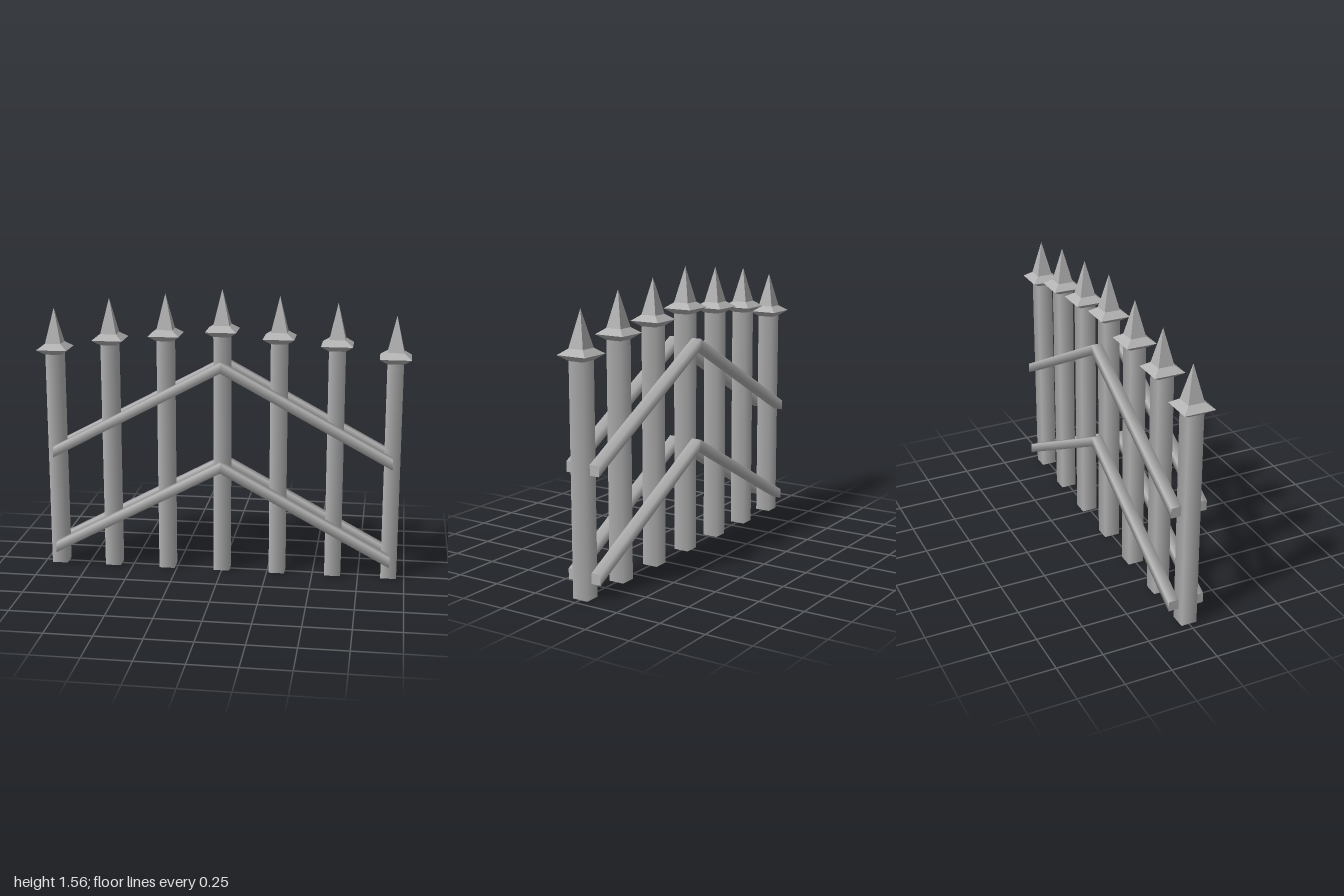
import * as THREE from 'three';

export function createModel() {
  const root = new THREE.Group();
  root.name = 'picketFence';
  const iron = new THREE.MeshStandardMaterial({ color: 0xb2b2b2 });
  iron.name = 'grey iron';

  const add = (parent, geometry, name) => {
    const mesh = new THREE.Mesh(geometry, iron);
    mesh.name = name;
    parent.add(mesh);
    return mesh;
  };

  // square bar with softened side normals, standing on y
  const squareBar = (half, length) => new THREE.CylinderGeometry(
    half * Math.SQRT2, half * Math.SQRT2, length, 4, 1, false, Math.PI / 4);

  // four-sided spearhead: flared collar and tall spike, faceted
  const profile = [[0, 0], [0.043, 0], [0.083, 0.03], [0.043, 0.06], [0, 0.25]]
    .map(([half, y]) => new THREE.Vector2(half * Math.SQRT2, y));
  const spear = new THREE.LatheGeometry(profile, 4).rotateY(Math.PI / 4).toNonIndexed();
  spear.computeVertexNormals();

  // seven pickets, rising towards the middle
  const heights = [1.31, 1.28, 1.25, 1.19];
  for (let i = -3; i <= 3; i++) {
    const h = heights[Math.abs(i)];
    const picket = new THREE.Group();
    picket.name = 'picket';
    picket.position.x = i * 0.3053;
    add(picket, squareBar(0.043, h), 'post').position.y = h / 2;
    add(picket, spear, 'spearhead').position.y = h;
    root.add(picket);
  }

  // peaked rails on both faces: each arm is a bar sheared so its ends stay vertical
  const reach = 0.92, slope = 0.538;
  for (const side of [-1, 1]) {
    const arm = squareBar(0.0275, reach).rotateZ(Math.PI / 2).translate(side * reach / 2, 0, 0);
    arm.applyMatrix4(new THREE.Matrix4().set(
      1, 0, 0, 0,
      -side * slope, 1, 0, 0,
      0, 0, 1, 0,
      0, 0, 0, 1));
    for (const [y, level] of [[0.603, 'lower'], [1.153, 'upper']]) {
      for (const face of [-1, 1]) {
        add(root, arm, level + (face > 0 ? 'Front' : 'Back') + 'Rail')
          .position.set(0, y, face * 0.0705);
      }
    }
  }
  return root;
}
